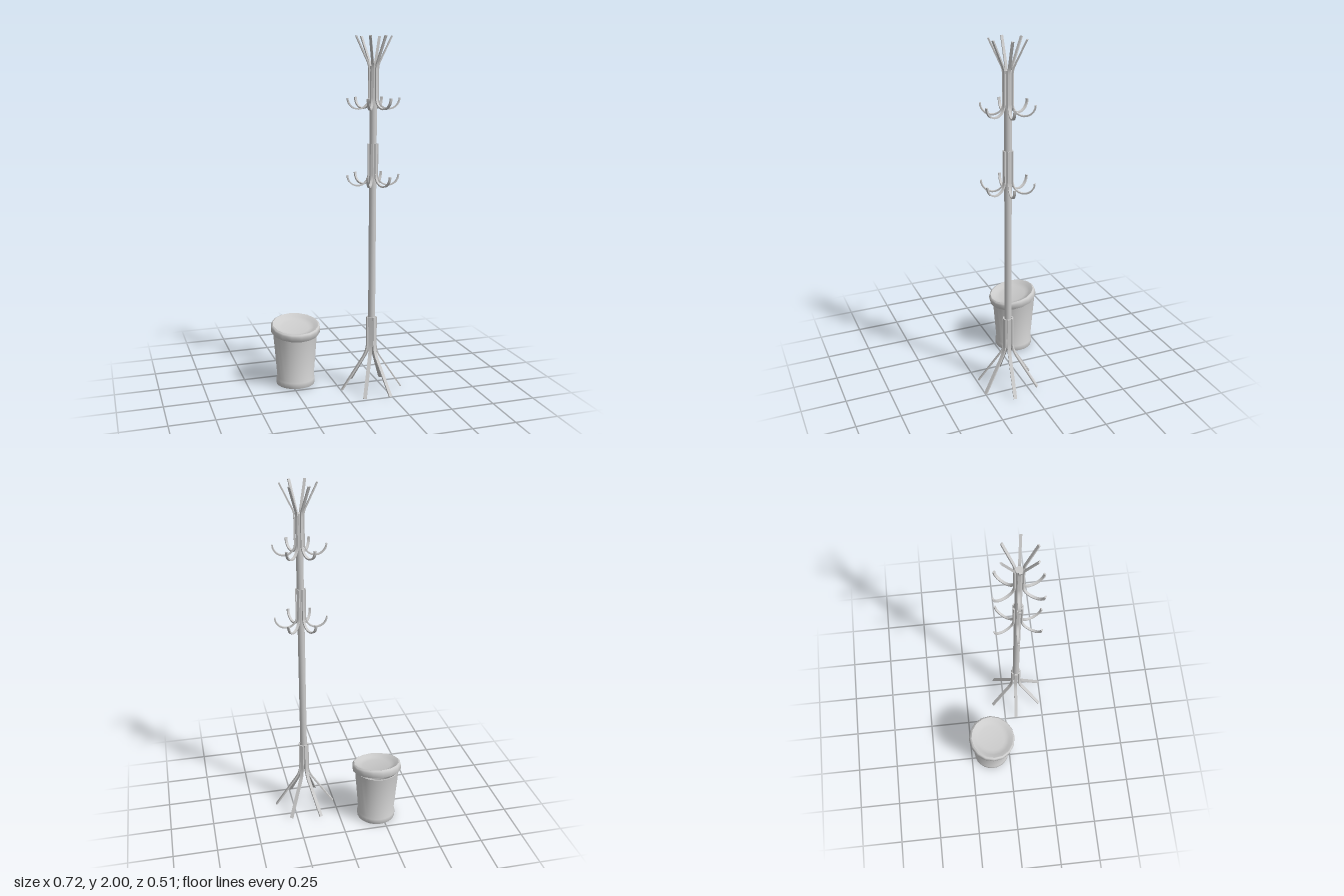
import * as THREE from 'three';
import { toCreasedNormals } from 'three/addons/utils/BufferGeometryUtils.js';

const material = new THREE.MeshStandardMaterial({ color: 0xcccccc, side: THREE.DoubleSide });
const V = (x, y) => new THREE.Vector2(x, y);

// Flat bar of constant thickness following a path of (radius, height) points
function barGeometry(path, width, thickness) {
  const inner = [], outer = [];
  path.forEach((p, i) => {
    const a = path[Math.max(i - 1, 0)], b = path[Math.min(i + 1, path.length - 1)];
    const t = b.clone().sub(a).normalize().multiplyScalar(thickness / 2);
    // bar ends are cut level with the ground and the top
    outer.push(V(p.x - t.y, THREE.MathUtils.clamp(p.y + t.x, 0, 2)));
    inner.push(V(p.x + t.y, THREE.MathUtils.clamp(p.y - t.x, 0, 2)));
  });
  const shape = new THREE.Shape([...outer, ...inner.reverse()]);
  const geometry = new THREE.ExtrudeGeometry(shape, { depth: width, bevelEnabled: false });
  geometry.translate(0, 0, -width / 2);
  return toCreasedNormals(geometry, 0.6);
}

// Soft bend between two straight runs
const bend = (a, corner, b, n = 5) => new THREE.QuadraticBezierCurve(a, corner, b).getPoints(n);

// Half-circle hook that starts at the pole and turns up and outward
function hookArc(y, r0 = 0.025, radius = 0.06, n = 14) {
  return Array.from({ length: n + 1 }, (_, i) => {
    const a = Math.PI * (1 + i / n);
    return V(r0 + radius + radius * Math.cos(a), y + radius * Math.sin(a));
  });
}

function lathe(points, name, segments) {
  const geometry = toCreasedNormals(
    new THREE.LatheGeometry(points.map(([r, y]) => V(r, y)), segments), 0.7);
  const mesh = new THREE.Mesh(geometry, material);
  mesh.name = name;
  return mesh;
}

function createCoatStand() {
  const stand = new THREE.Group();
  stand.name = 'coatStand';

  const pole = new THREE.Mesh(new THREE.CylinderGeometry(0.02, 0.02, 1.54, 16), material);
  pole.name = 'pole';
  pole.position.y = 1.07;
  stand.add(pole);

  // Bars repeated around the pole
  const bars = {
    leg: barGeometry(
      [V(0.025, 0.43), ...bend(V(0.025, 0.27), V(0.027, 0.225), V(0.05, 0.19)), V(0.174, 0.002)],
      0.02, 0.008),
    lowerHook: barGeometry([V(0.025, 1.42), ...hookArc(1.25)], 0.013, 0.008),
    upperHookAndProng: barGeometry(
      [V(0.099, 1.999), ...bend(V(0.035, 1.865), V(0.025, 1.845), V(0.025, 1.82)), ...hookArc(1.67)],
      0.014, 0.008),
  };
  for (const degrees of [9, 70, 121, 184, 246, 308]) {
    for (const [name, geometry] of Object.entries(bars)) {
      const bar = new THREE.Mesh(geometry, material);
      bar.name = name;
      bar.rotation.y = -THREE.MathUtils.degToRad(degrees);
      stand.add(bar);
    }
  }
  stand.position.set(0.18, 0, 0.085);
  return stand;
}

function createBin() {
  const bin = new THREE.Group();
  bin.name = 'bin';

  // Tapered bucket with a wider foot ring, hollow inside
  bin.add(lathe([
    [0, 0.005], [0.111, 0.005], [0.113, 0.01], [0.113, 0.038], [0.107, 0.048],
    [0.13, 0.33], [0.124, 0.33], [0.102, 0.05], [0, 0.03],
  ], 'bucket', 24));

  // Dished lid with a thick rim, tipped toward the front
  const lid = lathe([
    [0, 0.014], [0.128, 0.012], [0.132, 0], [0.141, 0], [0.144, 0.006],
    [0.144, 0.032], [0.14, 0.041], [0.133, 0.045], [0.125, 0.042],
    [0.11, 0.032], [0.095, 0.026], [0.08, 0.023], [0, 0.023],
  ], 'lid', 16);
  lid.position.set(0, 0.323, 0.004);
  lid.rotation.x = THREE.MathUtils.degToRad(10.5);
  bin.add(lid);

  bin.position.set(-0.22, 0, -0.117);
  return bin;
}

export function createModel() {
  const model = new THREE.Group();
  model.name = 'coatStandAndBin';
  model.add(createCoatStand(), createBin());
  return model;
}
